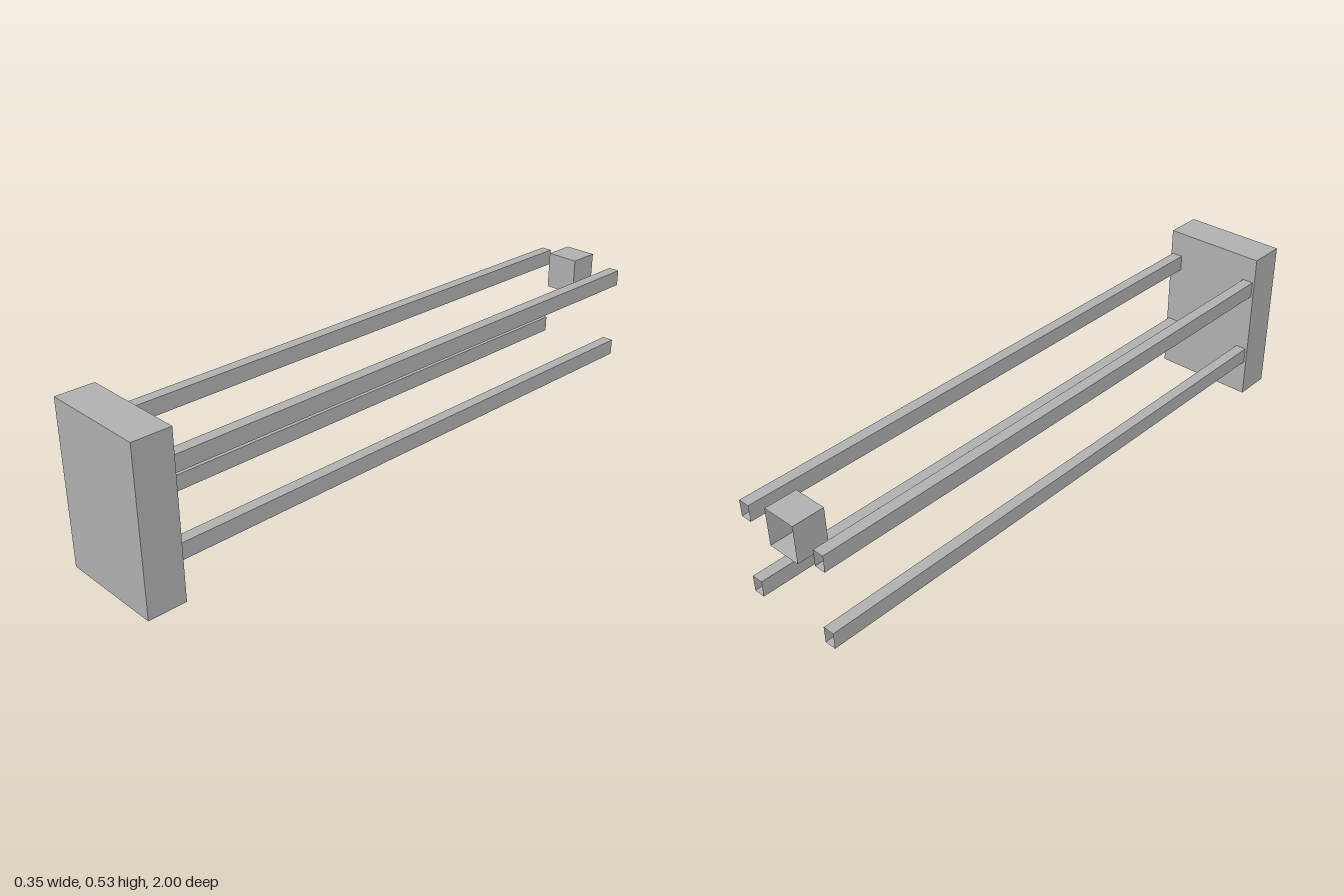
import * as THREE from 'three';

const gray = new THREE.MeshStandardMaterial({ color: 0xb0b0b0, side: THREE.DoubleSide });
gray.name = 'gray';

// Box given by its centre in x and y and its z range; openBack leaves off the -z face
function addBox(group, name, w, h, x, y, zBack, zFront, openBack) {
  const geometry = new THREE.BoxGeometry(w, h, zFront - zBack);
  if (openBack) {
    // the -z face is the last six indices of a box
    geometry.setIndex(Array.from(geometry.index.array).slice(0, 30));
    geometry.clearGroups();
  }
  const mesh = new THREE.Mesh(geometry, gray);
  mesh.name = name;
  mesh.position.set(x, y, (zBack + zFront) / 2);
  group.add(mesh);
}

export function createModel() {
  const model = new THREE.Group();
  model.name = 'railFrame';

  // Solid front plate
  addBox(model, 'frontPlate', 0.348, 0.527, 0, 0.2635, 0.877, 1, false);

  // Four long rails, hollow and open at the back
  for (const [side, x] of [['left', 0.148], ['right', -0.148]]) {
    for (const [level, y] of [['Upper', 0.415], ['Lower', 0.153]]) {
      addBox(model, `${side}${level}Rail`, 0.037, 0.053, x, y, -1, 0.877, true);
    }
  }

  // Small hollow block between the upper rails, open at the back
  addBox(model, 'rearBlock', 0.11, 0.123, 0, 0.412, -1, -0.898, true);

  return model;
}
